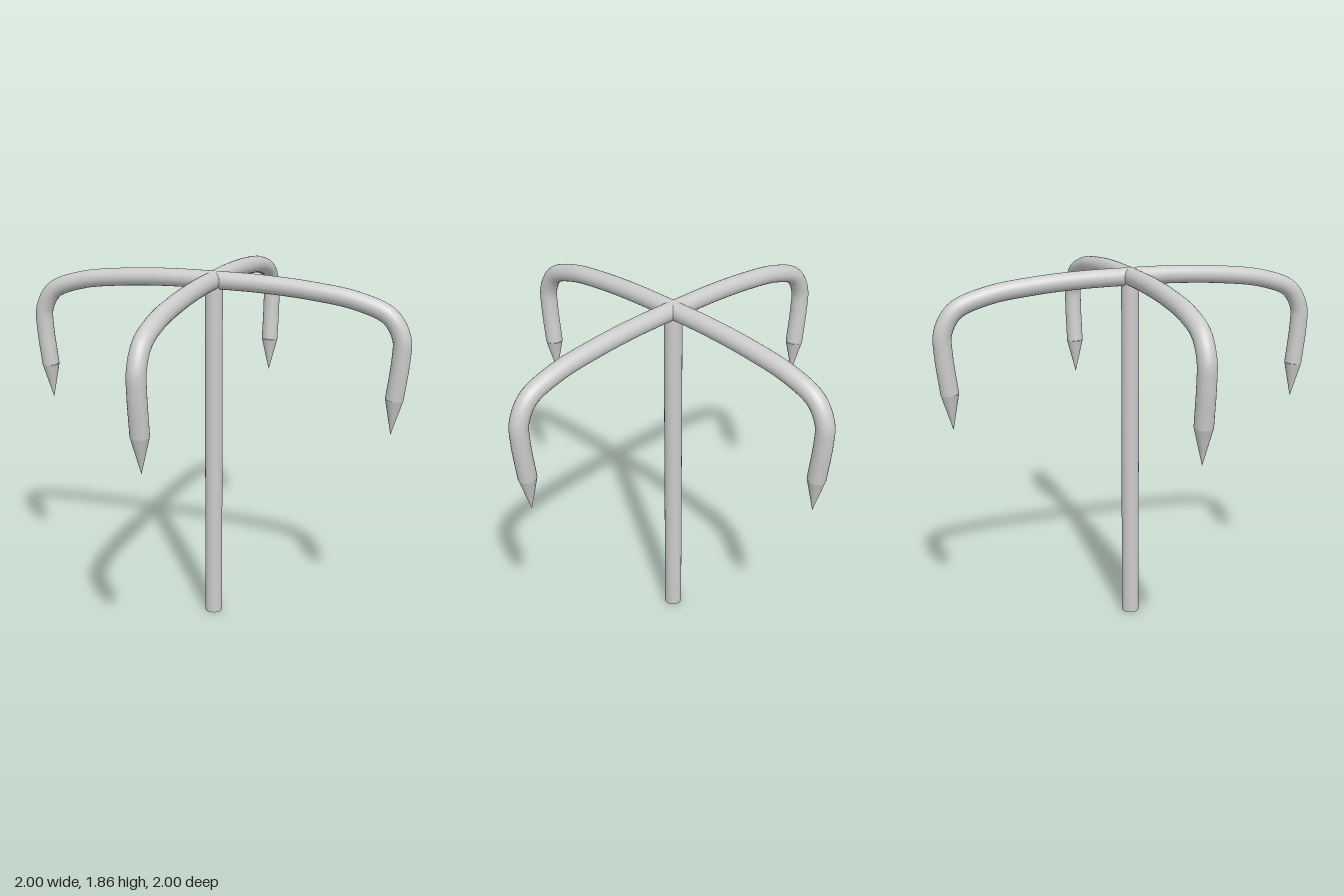
import * as THREE from 'three';

const R = 0.045; // rod radius
const material = new THREE.MeshStandardMaterial({ color: 0xcccccc });

function addMesh(parent, name, geometry) {
  const mesh = new THREE.Mesh(geometry, material);
  mesh.name = name;
  parent.add(mesh);
  return mesh;
}

// One curved prong reaching out along +x and ending in a sharp point
function createProng() {
  const prong = new THREE.Group();
  prong.name = 'prong';

  const path = new THREE.CatmullRomCurve3([
    [0, 1.815], [0.25, 1.812], [0.5, 1.796], [0.73, 1.763], [0.89, 1.7],
    [0.95, 1.6], [0.952, 1.5], [0.93, 1.297],
  ].map(([x, y]) => new THREE.Vector3(x, y, 0)));
  addMesh(prong, 'prongArm', new THREE.TubeGeometry(path, 48, R, 24));

  // Cone continuing the end of the arm
  const base = path.getPoint(1);
  const tip = new THREE.Vector3(0.92, 1.115, 0);
  const axis = tip.clone().sub(base);
  const point = addMesh(prong, 'prongPoint', new THREE.ConeGeometry(R, axis.length(), 24));
  point.position.copy(base).add(tip).multiplyScalar(0.5);
  point.quaternion.setFromUnitVectors(new THREE.Vector3(0, 1, 0), axis.normalize());
  return prong;
}

export function createModel() {
  const model = new THREE.Group();
  model.name = 'prongedHook';

  // Straight shaft up to the crossing of the prongs
  const height = 1.845;
  addMesh(model, 'shaft', new THREE.CylinderGeometry(R, R, height, 24)).position.y = height / 2;

  // Four prongs at right angles
  for (let i = 0; i < 4; i++) {
    const prong = createProng();
    prong.rotation.y = (i * Math.PI) / 2;
    model.add(prong);
  }
  return model;
}
